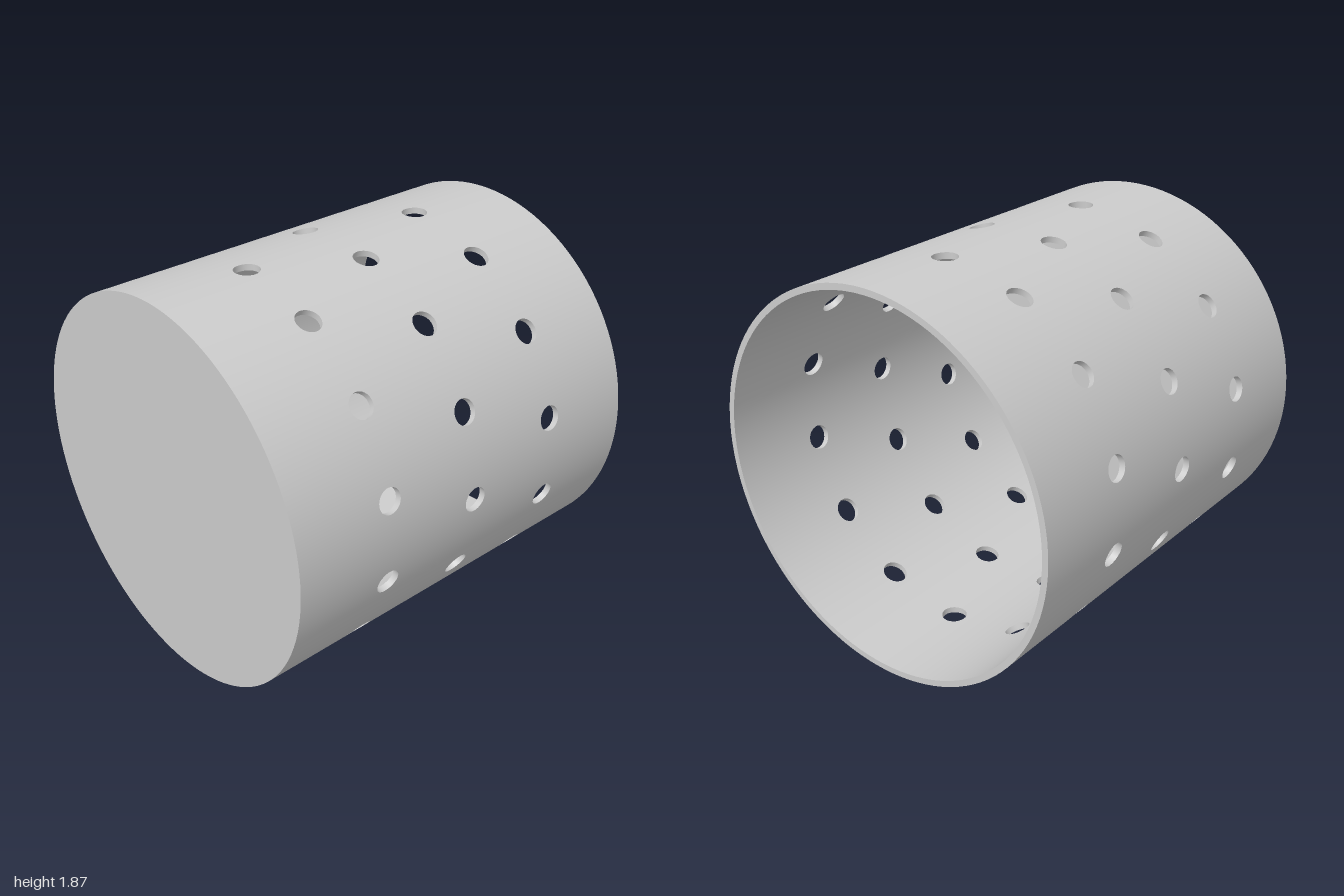
import * as THREE from 'three';

const R = 0.933, WALL = 0.03, RI = R - WALL;
const HOLES = 14, HOLE_R = 0.06;
const N = 32;                 // points around each hole
const SEG = HOLES * N / 4;    // segments around the drum
const STEP = Math.PI * 2 / HOLES;

// rows of holes: centre, back edge, front edge, angular shift
const rows = [
  [-0.5, -1, -0.25, 0],
  [0, -0.25, 0.25, STEP / 2],
  [0.5, 0.25, 1, 0],
];

// evenly spaced walk around a square, -1..1
function squareWave(k) {
  const q = ((k % N) + N) % N;
  const d = Math.min(q, N - q);
  return Math.max(-1, Math.min(1, 2 - d * 8 / N));
}

// angle 0 is the top of the drum
const onDrum = (r, a, z) => [r * Math.sin(a), r * Math.cos(a), z];

// closed bands of quads; point(i, k) returns [position, normal]
function addBands(out, point, bands, flip) {
  const base = out.pos.length / 3;
  for (let i = 0; i <= bands; i++) {
    for (let k = 0; k <= N; k++) {
      const [p, n] = point(i, k);
      out.pos.push(...p);
      out.nor.push(...n);
    }
  }
  for (let i = 0; i < bands; i++) {
    for (let k = 0; k < N; k++) {
      const a = base + i * (N + 1) + k, b = a + N + 1;
      if (flip) out.idx.push(a, b + 1, b, a, a + 1, b + 1);
      else out.idx.push(a, b, b + 1, a, b + 1, a + 1);
    }
  }
}

function toGeometry(out) {
  const g = new THREE.BufferGeometry();
  g.setAttribute('position', new THREE.Float32BufferAttribute(out.pos, 3));
  g.setAttribute('normal', new THREE.Float32BufferAttribute(out.nor, 3));
  g.setIndex(out.idx);
  return g;
}

export function createModel() {
  const group = new THREE.Group();
  const material = new THREE.MeshStandardMaterial({ color: 0xcccccc });
  const outer = { pos: [], nor: [], idx: [] };
  const inner = { pos: [], nor: [], idx: [] };
  const bores = { pos: [], nor: [], idx: [] };

  for (const [zc, z0, z1, shift] of rows) {
    for (let h = 0; h < HOLES; h++) {
      const a0 = h * STEP + shift;
      // hole edge on a shell of radius r, as angle offset and z offset
      const holeEdge = (r, k) => {
        const phi = k / N * Math.PI * 2;
        return [Math.asin(HOLE_R * Math.cos(phi) / r), HOLE_R * Math.sin(phi)];
      };
      // curved panel from the hole edge out to the panel border
      const panel = (r, side) => (i, k) => {
        const t = i / 4, [ha, hz] = holeEdge(r, k);
        const u = squareWave(k), v = squareWave(k - N / 4);
        const a = a0 + THREE.MathUtils.lerp(ha, u * STEP / 2, t);
        const z = zc + THREE.MathUtils.lerp(hz, v * (v < 0 ? zc - z0 : z1 - zc), t);
        return [onDrum(r, a, z), [side * Math.sin(a), side * Math.cos(a), 0]];
      };
      addBands(outer, panel(R, 1), 4, true);
      addBands(inner, panel(RI, -1), 4, false);
      // wall of the hole through the shell
      addBands(bores, (i, k) => {
        const r = i ? RI : R, phi = k / N * Math.PI * 2, [ha, hz] = holeEdge(r, k);
        const c = -Math.cos(phi);
        return [onDrum(r, a0 + ha, zc + hz), [c * Math.cos(a0), -c * Math.sin(a0), -Math.sin(phi)]];
      }, 1, false);
    }
  }

  const add = (name, geometry, z = 0, faceBack = false) => {
    const mesh = new THREE.Mesh(geometry, material);
    mesh.name = name;
    mesh.position.set(0, R, z);
    if (faceBack) mesh.rotation.y = Math.PI;
    group.add(mesh);
  };
  add('outerShell', toGeometry(outer));
  add('innerShell', toGeometry(inner));
  add('holeWalls', toGeometry(bores));

  // closed front end and open back rim
  add('frontPlate', new THREE.CircleGeometry(R, SEG), 1);
  add('frontPlateInside', new THREE.CircleGeometry(RI, SEG), 1 - WALL, true);
  add('backRim', new THREE.RingGeometry(RI, R, SEG), -1, true);
  return group;
}
